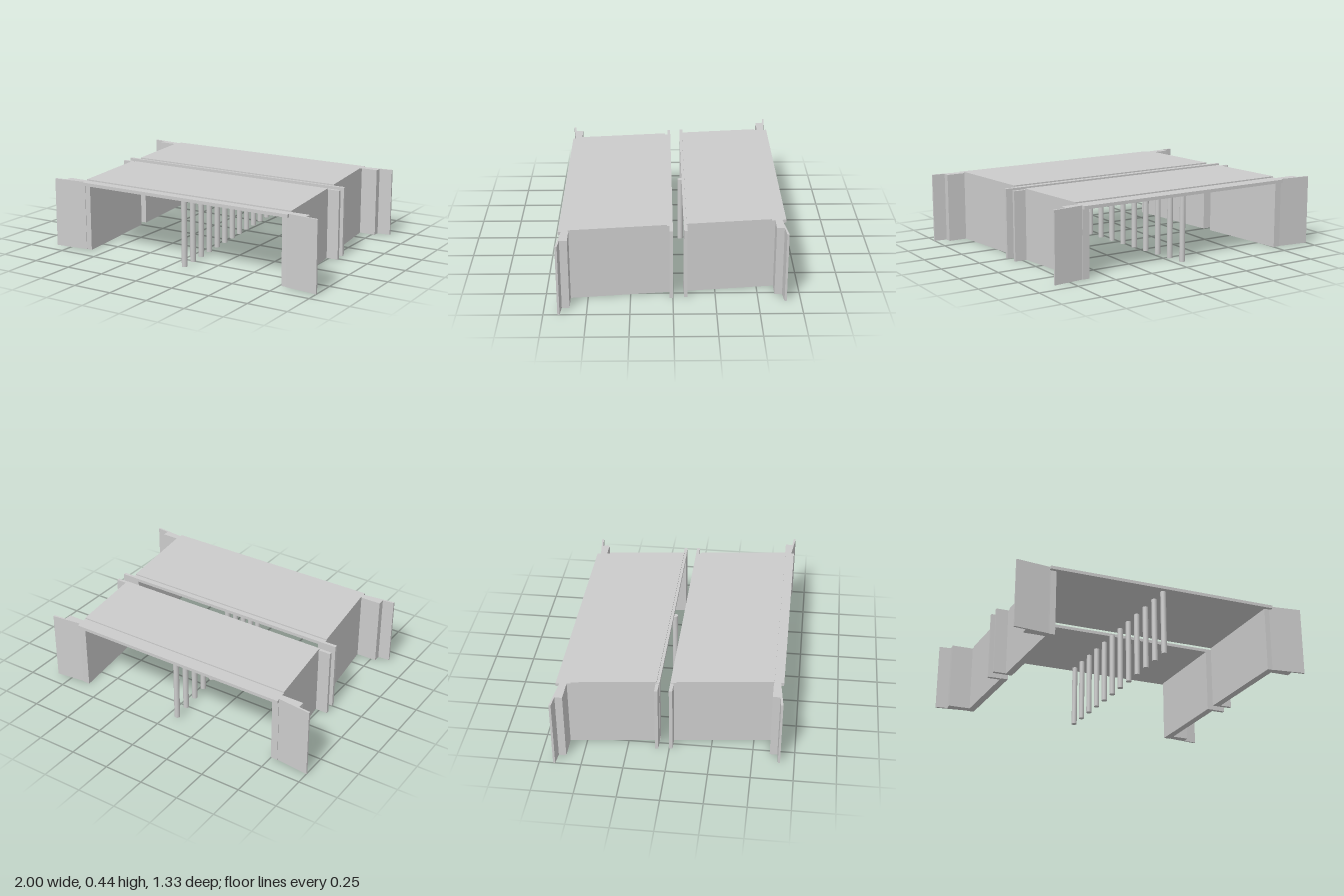
import * as THREE from 'three';

const SKEW = 0.115;        // sideways drift of the bridge per unit of depth
const WALL_TOP = 0.435;
const DECK_BOTTOM = 0.415;
const LEFT = -0.718, RIGHT = 0.733; // outer faces of the side walls at z = 0

export function createModel() {
  const group = new THREE.Group();
  const material = new THREE.MeshStandardMaterial({ color: 0xcccccc, flatShading: true });
  const smooth = new THREE.MeshStandardMaterial({ color: 0xcccccc });

  // Upright prism from a plan outline of [x, z] points
  function prism(name, outline, y0, y1) {
    const shape = new THREE.Shape(outline.map(([x, z]) => new THREE.Vector2(x, -z)));
    const geometry = new THREE.ExtrudeGeometry(shape, { depth: y1 - y0, bevelEnabled: false });
    geometry.rotateX(-Math.PI / 2).translate(0, y0, 0);
    const mesh = new THREE.Mesh(geometry, material);
    mesh.name = name;
    group.add(mesh);
  }

  // Skewed plan strip between two x offsets and two depths
  const strip = (x0, x1, z0, z1) => [
    [x0 + SKEW * z0, z0], [x1 + SKEW * z0, z0],
    [x1 + SKEW * z1, z1], [x0 + SKEW * z1, z1],
  ];

  // The two bridge halves: inner edge, wall end, outer edge and raised roadway span
  const halves = [
    { name: 'front', inner: 0, end: 0.64, outer: 0.662, road: [0.035, 0.605], side: 1 },
    { name: 'back', inner: -0.063, end: -0.648, outer: -0.667, road: [-0.08, -0.58], side: -1 },
  ];

  for (const h of halves) {
    // Deck slab with a slightly raised roadway
    prism(h.name + 'Deck', strip(LEFT, RIGHT, h.inner, h.outer), DECK_BOTTOM, WALL_TOP);
    prism(h.name + 'Roadway', strip(LEFT, RIGHT, ...h.road), WALL_TOP, 0.443);

    // Abutment walls
    prism(h.name + 'RightWall', strip(LEFT, LEFT + 0.044, h.inner, h.end), 0, DECK_BOTTOM);
    prism(h.name + 'LeftWall', strip(RIGHT - 0.044, RIGHT, h.inner, h.end), 0, DECK_BOTTOM);

    for (const [label, base, out] of [['Left', RIGHT, 1], ['Right', LEFT, -1]]) {
      // Flange beside the central gap
      const z0 = h.inner + (h.side > 0 ? 0 : -0.022);
      const x = base + SKEW * z0;
      prism(h.name + label + 'Flange', [
        [x, z0], [x + out * 0.077, z0], [x + out * 0.077, z0 + 0.02], [x, z0 + 0.02],
      ], 0, WALL_TOP);

      // Corner pier with a thin splayed wing; the two obtuse sides have the shorter pair
      const acute = out === h.side;
      const xw = base + SKEW * h.side * 0.62;
      const pier = out * (acute ? (h.side > 0 ? 0.92 : 0.925) : (h.side > 0 ? 0.78 : 0.77));
      const tip = out * (acute ? 1 : 0.853);
      const s = h.side;
      prism(h.name + label + 'Wing', [
        [xw - out * 0.01, s * 0.602], [pier, s * 0.602], [pier, s * 0.647],
        [tip, s * 0.654], [tip, s * 0.667], [xw, s * 0.644], [xw - out * 0.01, s * 0.643],
      ], 0, WALL_TOP);
    }
  }

  // Skewed row of round columns under the middle of the deck
  const count = 12;
  const columnGeometry = new THREE.CylinderGeometry(0.0175, 0.0175, DECK_BOTTOM, 16);
  for (let i = 0; i < count; i++) {
    const z = -0.62 + (1.24 * i) / (count - 1);
    const column = new THREE.Mesh(columnGeometry, smooth);
    column.name = 'column' + (i + 1);
    column.position.set(0.015 + SKEW * z, DECK_BOTTOM / 2, z);
    group.add(column);
  }

  return group;
}
